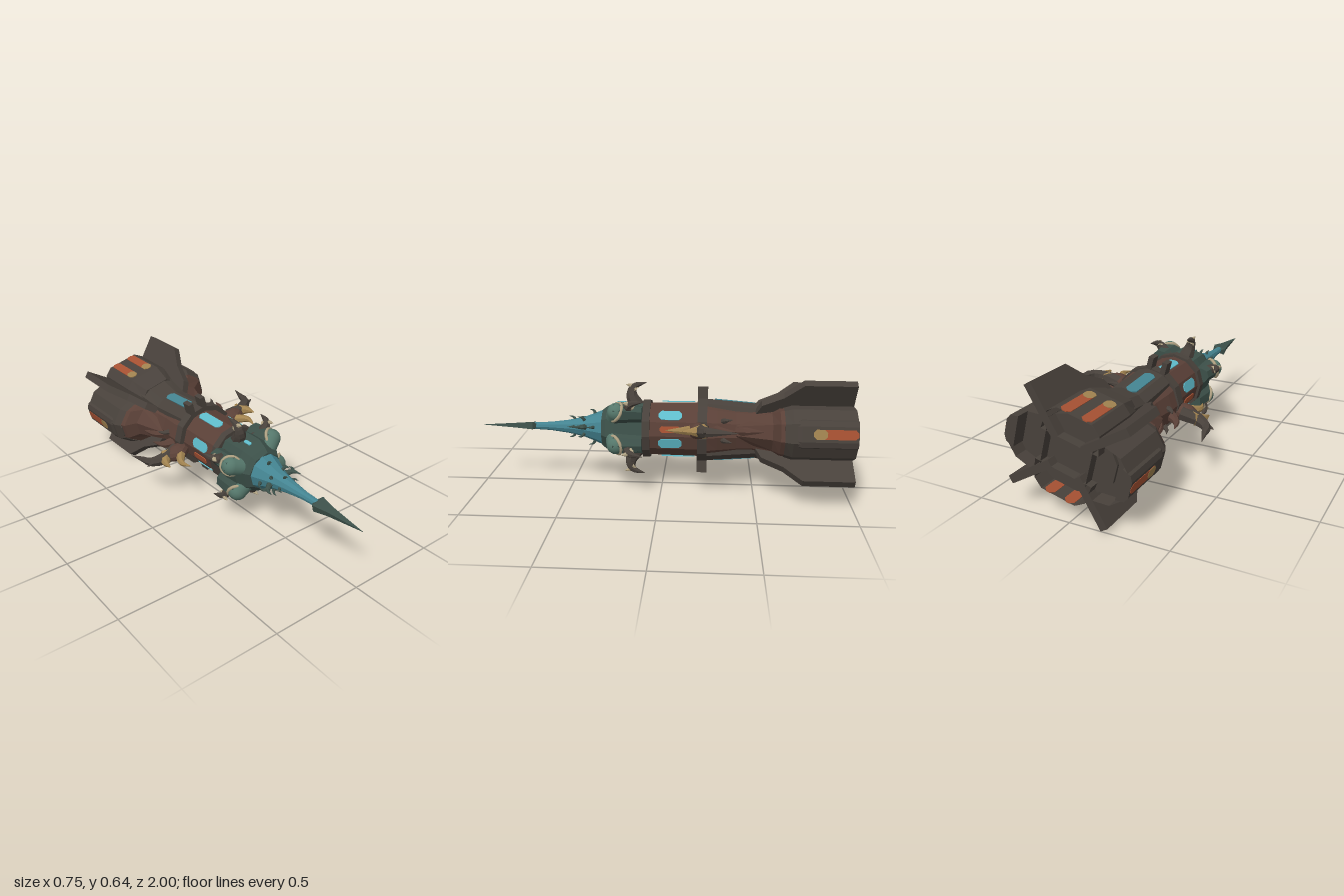
import * as THREE from 'three';

const paint = (name, color) => {
  const m = new THREE.MeshStandardMaterial({ color });
  m.name = name;
  return m;
};

export function createModel() {
  const dark = paint('dark hull', 0x48413b), brown = paint('rust brown', 0x5a4037);
  const teal = paint('nose teal', 0x448491), green = paint('deep green', 0x3c5049);
  const podMat = paint('pod green', 0x55776b), cyan = paint('window cyan', 0x5fbccb);
  const orange = paint('vent orange', 0xa65132), tan = paint('claw tan', 0xa0824f);
  const cream = paint('bone cream', 0xb0a283);
  const shell = paint('open dark shell', 0x48413b);
  shell.side = THREE.DoubleSide;

  const model = new THREE.Group();
  const ship = new THREE.Group();
  ship.name = 'ship';
  ship.position.y = 0.322;
  ship.rotation.z = THREE.MathUtils.degToRad(15);
  model.add(ship);

  const flat = (g) => {
    const f = g.index ? g.toNonIndexed() : g;
    f.computeVertexNormals();
    return f;
  };
  const add = (parent, name, geo, mat, x = 0, y = 0, z = 0) => {
    const m = new THREE.Mesh(geo, mat);
    m.name = name;
    m.position.set(x, y, z);
    parent.add(m);
    return m;
  };
  // Repeats a part around the long axis; inside a pivot, +x points outward
  const around = (name, degrees, build) => degrees.forEach((d) => {
    const g = new THREE.Group();
    g.name = name;
    g.rotation.z = THREE.MathUtils.degToRad(d);
    ship.add(g);
    build(g);
  });

  // Skin over cross-sections [z, points], z rising, points anticlockwise seen from +z
  const loft = (sections, capBack = true, capFront = true) => {
    const pos = [], idx = [], n = sections[0][1].length, last = sections.length - 1;
    sections.forEach(([z, pts]) => pts.forEach(([x, y]) => pos.push(x, y, z)));
    for (let k = 0; k < last; k++) for (let i = 0; i < n; i++) {
      const j = (i + 1) % n, a = k * n + i, b = k * n + j;
      idx.push(a, b, b + n, a, b + n, a + n);
    }
    for (let i = 1; i < n - 1; i++) {
      if (capBack) idx.push(0, i + 1, i);
      if (capFront) idx.push(last * n, last * n + i, last * n + i + 1);
    }
    const g = new THREE.BufferGeometry();
    g.setAttribute('position', new THREE.Float32BufferAttribute(pos, 3));
    g.setIndex(idx);
    return flat(g);
  };
  const oval = (rx, ry, n = 12) => Array.from({ length: n }, (_, i) => {
    const a = (i + 0.5) / n * Math.PI * 2;
    return [Math.cos(a) * rx, Math.sin(a) * ry];
  });
  const hull = (rows, n) => loft(rows.map(([z, rx, ry = rx]) => [z, oval(rx, ry, n)]));

  // Curved tapering horn through [radius, height, z] points
  const horn = (parent, name, pts, r, mat) => {
    const curve = new THREE.CatmullRomCurve3(pts.map((p) => new THREE.Vector3(...p)));
    const steps = 10, sides = 7, g = new THREE.TubeGeometry(curve, steps, r, sides);
    const p = g.attributes.position, v = new THREE.Vector3();
    for (let i = 0; i < p.count; i++) {
      const t = Math.floor(i / (sides + 1)) / steps, c = curve.getPointAt(t);
      v.fromBufferAttribute(p, i).sub(c).multiplyScalar(1 - t ** 1.3 * 0.98).add(c);
      p.setXYZ(i, v.x, v.y, v.z);
    }
    return add(parent, name, flat(g), mat);
  };
  // Thin painted plate with cut corners, lying on an outward face
  const plate = (parent, name, mat, r, y, z, length, width) => {
    const l = length / 2, w = width / 2, c = w * 0.6;
    const s = new THREE.Shape([[-w, -l + c], [-w + c, -l], [w - c, -l], [w, -l + c],
      [w, l - c], [w - c, l], [-w + c, l], [-w, l - c]].map((q) => new THREE.Vector2(...q)));
    const g = new THREE.ExtrudeGeometry(s, { depth: 0.005, bevelEnabled: false });
    g.applyMatrix4(new THREE.Matrix4().makeBasis(new THREE.Vector3(0, 1, 0),
      new THREE.Vector3(0, 0, 1), new THREE.Vector3(1, 0, 0)));
    return add(parent, name, g, mat, r, y, z);
  };

  // Main fuselage, head and needle nose
  add(ship, 'tailCore', hull([[-0.95, 0.23, 0.18], [-0.66, 0.2, 0.165], [-0.58, 0.17, 0.145]]), dark);
  add(ship, 'rearBody', hull([[-0.64, 0.195, 0.16], [-0.48, 0.16, 0.13], [-0.4, 0.158, 0.135],
    [-0.3, 0.17, 0.148], [-0.22, 0.172, 0.16]]), brown);
  add(ship, 'midBody', hull([[-0.22, 0.15], [0.08, 0.145]]), brown);
  add(ship, 'head', hull([[0.05, 0.14], [0.16, 0.15], [0.25, 0.15], [0.3, 0.124], [0.325, 0.104]], 8), green);
  add(ship, 'nose', hull([[0.29, 0.1], [0.325, 0.097], [0.37, 0.078], [0.43, 0.055], [0.52, 0.036],
    [0.62, 0.023], [0.74, 0.018]], 10), teal);
  add(ship, 'spearhead', hull([[0.69, 0.012, 0.008], [0.715, 0.054, 0.028],
    [0.8, 0.03, 0.019], [1, 0.001, 0.001]], 4), green);

  // Collars
  add(ship, 'frontCollar', hull([[0.06, 0.16], [0.1, 0.16]]), dark);
  add(ship, 'rearCollar', hull([[-0.245, 0.178], [-0.195, 0.178]]), dark);
  around('collarLugs', [90, -90], (g) => {
    for (const y of [-0.04, 0.04])
      add(g, 'lug', new THREE.BoxGeometry(0.09, 0.028, 0.055), dark, 0.187, y, -0.22);
  });

  // Small thorns on the nose
  for (let k = 0; k < 3; k++) around('noseThorns', [0, 90, 180, 270].map((a) => a + k * 45), (g) => {
    const z = 0.37 + k * 0.055, r = 0.072 - k * 0.02;
    horn(g, 'thorn', [[r, 0, z], [r + 0.02, 0, z + 0.012], [r + 0.026, 0, z + 0.036]], 0.01, green);
  });
  around('noseBarbs', [0, 180], (g) => {
    horn(g, 'barb', [[0.05, 0, 0.42], [0.088, 0, 0.445], [0.1, 0, 0.49]], 0.017, green);
    horn(g, 'backBarb', [[0.07, 0, 0.44], [0.1, 0, 0.43], [0.105, 0, 0.395]], 0.013, green);
  });

  // Rounded pods on the head's front face, with green sockets and bone rims
  around('headPod', [32, 148, 212, -32], (g) => {
    const pod = new THREE.CapsuleGeometry(0.05, 0.08, 8, 20).rotateZ(Math.PI / 2);
    add(g, 'pod', pod, podMat, 0.125, 0, 0.245).rotation.y = 0.2;
    add(g, 'podRim', new THREE.TorusGeometry(0.051, 0.009, 6, 18), cream, 0.165, 0, 0.238)
      .rotation.y = 0.7;
    const socket = loft([[0.1, oval(0.06, 0.045, 8)], [0.25, oval(0.076, 0.055, 8)]]);
    add(g, 'podSocket', socket, green, 0.14);
  });

  // Hooked horns around the head
  around('headHorn', [90, -90, 35, 145, 215, -35], (g) => {
    horn(g, 'hook', [[0.12, 0, 0.14], [0.18, 0, 0.17], [0.225, 0, 0.16], [0.25, 0, 0.09]], 0.042, dark);
    horn(g, 'hookBarb', [[0.205, 0, 0.15], [0.23, 0, 0.175], [0.238, 0, 0.205]], 0.023, cream);
  });

  // Glowing windows around the middle
  around('midWindow', [90, -90], (g) => plate(g, 'longWindow', cyan, 0.146, 0, -0.09, 0.18, 0.054));
  around('flankWindow', [30, -30, 150, 210], (g) =>
    plate(g, 'shortWindow', cyan, 0.146, 0, -0.05, 0.125, 0.054));
  around('sideVent', [0, 180], (g) => plate(g, 'orangeVent', orange, 0.146, 0, -0.05, 0.11, 0.035));
  around('headWindow', [90, -90], (g) => plate(g, 'headSlit', cyan, 0.14, 0, 0.225, 0.05, 0.02));

  // Side tusks with tan claws and thorns behind
  around('sideTusk', [0, 180], (g) => {
    const knuckle = new THREE.SphereGeometry(0.055, 10, 7);
    knuckle.scale(1.3, 0.8, 1);
    add(g, 'knuckle', flat(knuckle), brown, 0.2, 0, -0.2);
    horn(g, 'tusk', [[0.19, 0, -0.22], [0.28, 0, -0.215], [0.345, 0, -0.25], [0.362, 0, -0.31],
      [0.387, 0, -0.4]], 0.043, dark);
    horn(g, 'tuskBarb', [[0.33, 0, -0.25], [0.36, 0, -0.235], [0.385, 0, -0.24]], 0.018, dark);
    horn(g, 'outerClaw', [[0.255, 0, -0.23], [0.295, 0, -0.18], [0.305, 0, -0.12]], 0.039, tan);
    horn(g, 'innerClaw', [[0.2, 0, -0.17], [0.24, 0, -0.1], [0.225, 0, -0.03]], 0.028, tan);
    horn(g, 'frontThorn', [[0.15, 0, -0.29], [0.21, 0, -0.33], [0.235, 0, -0.4]], 0.03, brown);
    horn(g, 'rearThorn', [[0.14, 0, -0.41], [0.18, 0, -0.46], [0.205, 0, -0.55]], 0.03, brown);
    for (const y of [-0.05, 0.05])
      horn(g, 'stud', [[0.15, y, -0.33], [0.18, y * 1.1, -0.35], [0.195, y * 1.2, -0.38]], 0.016, dark);
  });

  // Half-profile mirrored into a shell section pointing outward
  const section = (half, dx = 0, s = 1) => [...half.map(([x, y]) => [x + dx, -y * s]),
    ...half.slice().reverse().map(([x, y]) => [x + dx, y * s])];

  // Upper and lower engine housings with spine, windows and paired vents
  around('spineEngine', [90, -90], (g) => {
    const half = [[0.08, 0.15], [0.175, 0.135], [0.212, 0.09]];
    add(g, 'housing', loft([[-1, section(half)], [-0.74, section(half)],
      [-0.62, section(half, -0.035, 0.8)]], false), shell);
    const ridge = [[0.08, 0.115], [0.142, 0.1], [0.168, 0.05]];
    add(g, 'spinePanel', loft([[-0.66, section(ridge, 0.015, 1.1)], [-0.5, section(ridge, -0.022, 0.95)],
      [-0.22, section(ridge, 0, 0.9)]]), dark);
    plate(g, 'spineWindow', teal, 0.154, 0, -0.395, 0.22, 0.058).rotation.y = 0.08;
    for (const y of [-0.053, 0.053]) {
      plate(g, 'vent', orange, 0.21, y, -0.895, 0.21, 0.052);
      plate(g, 'ventTip', tan, 0.211, y, -0.8, 0.065, 0.052);
    }
  });

  // Large side engines: brown fairing in front, dark stepped shell and plug behind
  around('sideEngine', [0, 180], (g) => {
    const half = [[0.12, 0.15], [0.25, 0.122], [0.318, 0.05]];
    add(g, 'fairing', loft([[-0.7, section(half, -0.01, 0.97)], [-0.62, section(half, -0.035, 0.9)],
      [-0.585, section(half, -0.1, 0.8)], [-0.4, section(half, -0.155, 0.5)]]), brown);
    add(g, 'engineShell', loft([[-1, section(half)], [-0.68, section(half)],
      [-0.64, section(half, -0.02, 0.92)]], false, false), shell);
    add(g, 'nozzlePlug', loft([[-0.93, section(half, -0.006, 0.97)],
      [-0.69, section(half, -0.006, 0.97)]]), dark);
    const pad = [[0.27, 0.08], [0.312, 0.068], [0.326, 0.04]];
    add(g, 'outerPad', loft([[-1, section(pad)], [-0.72, section(pad)],
      [-0.64, section(pad, -0.03, 0.7)]]), dark);
    plate(g, 'sideVent', orange, 0.323, 0, -0.89, 0.215, 0.05);
    plate(g, 'sideVentTip', tan, 0.324, 0, -0.81, 0.07, 0.05);
  });

  // Four diagonal tail fins, drawn as radius against length
  const finShape = new THREE.Shape([[0.1, -1], [0.36, -1], [0.36, -0.735], [0.27, -0.64],
    [0.21, -0.53], [0.1, -0.48]].map((q) => new THREE.Vector2(...q)));
  const finGeo = new THREE.ExtrudeGeometry(finShape, { depth: 0.04, bevelEnabled: false });
  finGeo.translate(0, 0, -0.02).rotateX(Math.PI / 2);
  around('tailFin', [45, 135, 225, 315], (g) => add(g, 'fin', finGeo, dark));

  return model;
}
